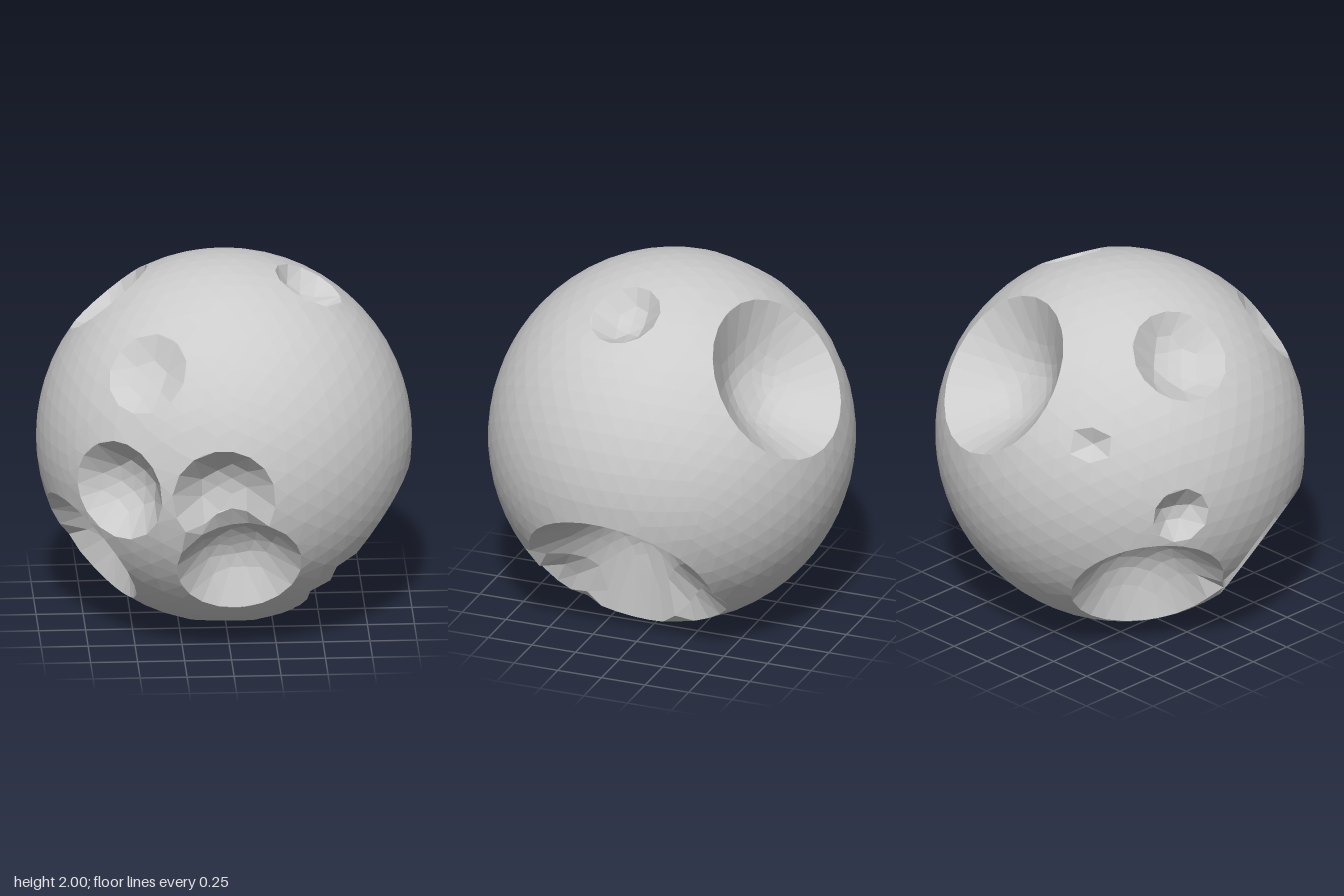
import * as THREE from 'three';

// Craters: direction from the centre (x, y, z), angular radius, depth
const CRATERS = [
  [0.77, -0.62, 0.03, 0.56, 0.45],   // large, lower left side
  [0.58, -0.74, -0.26, 0.29, 0.2],   // its two lower corners
  [0.6, -0.72, 0.31, 0.27, 0.2],
  [0.22, 0.58, -0.78, 0.47, 0.35],   // large, upper back
  [-0.66, -0.57, -0.45, 0.43, 0.3],  // lower back
  [-0.78, -0.53, 0.36, 0.37, 0.26],  // lower right side
  [-0.62, -0.03, 0.79, 0.28, 0.21],  // front pair
  [-0.05, -0.02, 0.98, 0.28, 0.2],
  [0.04, -0.46, 0.87, 0.34, 0.25],   // lower front
  [-0.45, 0.6, 0.66, 0.23, 0.08],    // upper front
  [-0.62, 0.75, -0.17, 0.27, 0.16],  // top pair
  [0.45, 0.88, 0.09, 0.2, 0.12],
  [-0.02, -0.95, 0.3, 0.18, 0.1],    // underside
  [-0.5, 0.38, -0.78, 0.1, 0.07],    // small pits
  [-0.87, -0.02, -0.43, 0.16, 0.1],
].map(([x, y, z, radius, depth]) => ({ dir: new THREE.Vector3(x, y, z).normalize(), radius, depth }));

// Slide a surface point sideways onto the nearest crater rim within reach
function snapToRim(p) {
  let best = null;
  let bestGap = 1;
  for (const crater of CRATERS) {
    const gap = Math.abs(p.angleTo(crater.dir) - crater.radius);
    if (gap < Math.min(0.06, crater.radius * 0.4, bestGap)) {
      best = crater;
      bestGap = gap;
    }
  }
  if (!best) return;
  const axis = new THREE.Vector3().crossVectors(best.dir, p).normalize();
  p.copy(best.dir).applyAxisAngle(axis, best.radius);
}

// Distance from the centre: the deepest bowl wins, so overlaps form ridges
function surfaceRadius(p) {
  let r = 1;
  for (const { dir, radius, depth } of CRATERS) {
    const t = p.angleTo(dir) / radius;
    if (t < 1) r = Math.min(r, 1 - depth * (1 - t ** 3));
  }
  return r;
}

export function createModel() {
  const group = new THREE.Group();
  group.name = 'crateredMoon';

  // Faceted, slightly shallow ball with bowls pressed into it
  const geometry = new THREE.IcosahedronGeometry(1, 10);
  const pos = geometry.attributes.position;
  const p = new THREE.Vector3();
  for (let i = 0; i < pos.count; i++) {
    p.fromBufferAttribute(pos, i).normalize();
    snapToRim(p);
    p.multiplyScalar(surfaceRadius(p));
    pos.setXYZ(i, p.x, p.y, p.z * 0.975);
  }
  geometry.computeVertexNormals();

  const moon = new THREE.Mesh(
    geometry,
    new THREE.MeshStandardMaterial({ color: 0xcccccc, flatShading: true })
  );
  moon.name = 'moonSurface';
  moon.position.y = 1;
  group.add(moon);
  return group;
}
